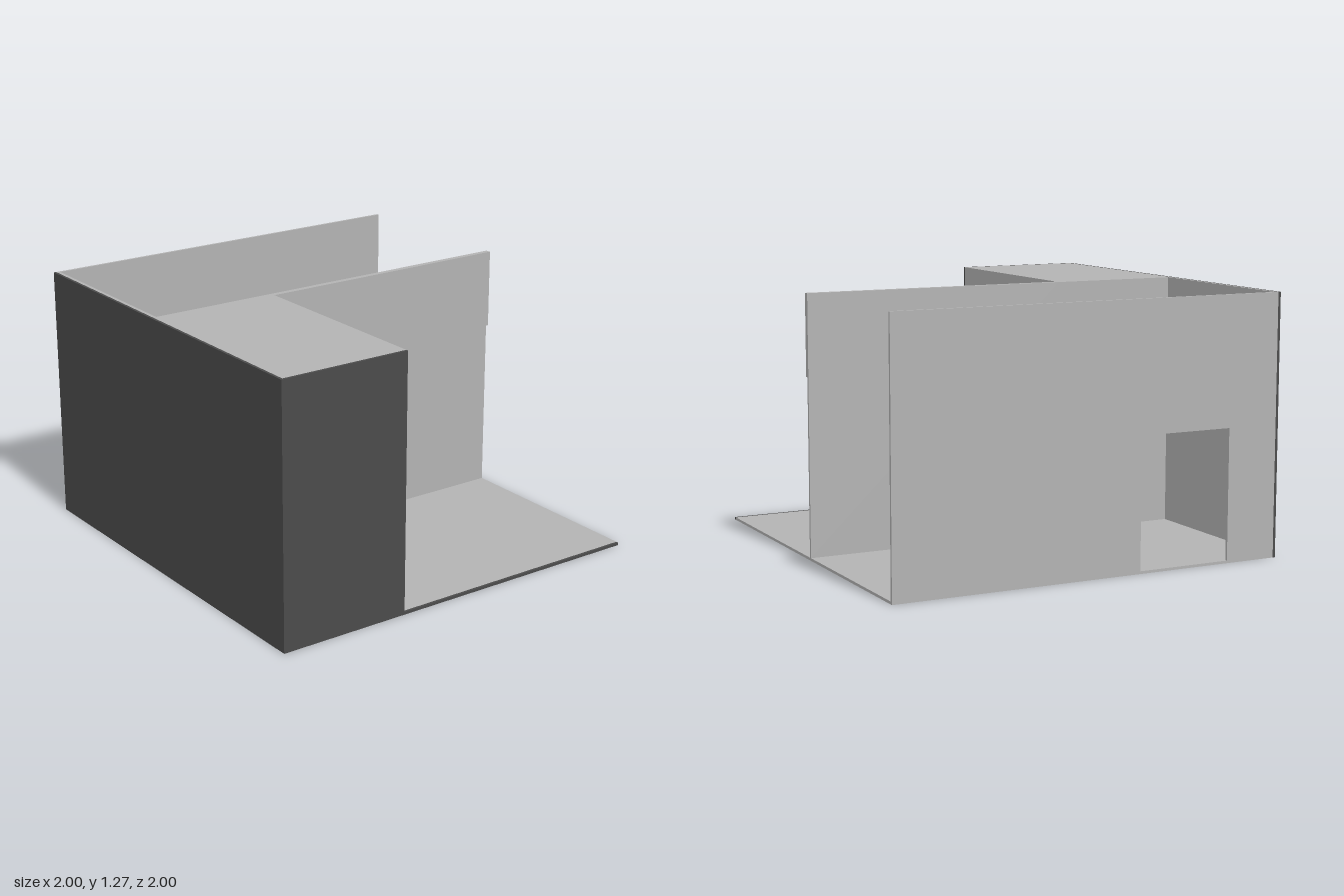
import * as THREE from 'three';

const H = 1.27;      // overall height
const T = 0.013;     // thickness of floor, back wall and cladding

export function createModel() {
  const model = new THREE.Group();
  model.name = 'roomMockup';

  const plaster = new THREE.MeshStandardMaterial({ color: 0xb3b3b3 });
  plaster.name = 'plaster grey';
  const cladding = new THREE.MeshStandardMaterial({ color: 0x4b4b4b });
  cladding.name = 'dark cladding';

  // Box given by its extents along each axis
  function slab(name, material, [x0, x1], [y0, y1], [z0, z1]) {
    const mesh = new THREE.Mesh(new THREE.BoxGeometry(x1 - x0, y1 - y0, z1 - z0), material);
    mesh.position.set((x0 + x1) / 2, (y0 + y1) / 2, (z0 + z1) / 2);
    mesh.name = name;
    model.add(mesh);
  }

  const inner = -1 + T;    // inside of the side cladding
  const front = 1 - T;     // inside of the front cladding
  const blockX = -0.335;   // open side of the solid block
  const midBack = -0.064;  // rear face of the dividing wall

  // Floor and its dark front edge
  slab('floor', plaster, [inner, 1], [0, T], [-1, front]);
  slab('floorFrontEdge', cladding, [blockX, 1], [0, T], [front, 1]);

  // Solid block beside the open front area
  slab('sideBlock', plaster, [inner, blockX], [T, H], [midBack, front]);
  slab('blockFrontCladding', cladding, [inner, blockX], [0, H], [front, 1]);

  // Dark outer side and the thin wall behind it
  slab('sideCladding', cladding, [-1, inner], [0, H], [-1, 1]);
  slab('sideWall', plaster, [inner, -0.97], [T, H], [-1 + T, midBack]);

  // Dividing wall with a thicker upper panel
  slab('dividingWall', plaster, [blockX, 1], [T, H], [midBack, -0.051]);
  slab('upperPanel', plaster, [blockX, 1], [0.875, H], [-0.051, -0.036]);

  // Back wall with a doorway open down to the floor
  const outline = new THREE.Shape([
    [inner, T], [-0.726, T], [-0.726, 0.645], [-0.25, 0.645],
    [-0.25, T], [1, T], [1, H], [inner, H],
  ].map(([x, y]) => new THREE.Vector2(x, y)));
  const backWall = new THREE.Mesh(
    new THREE.ExtrudeGeometry(outline, { depth: T, bevelEnabled: false }), plaster);
  backWall.position.z = -1;
  backWall.name = 'backWallWithDoorway';
  model.add(backWall);

  return model;
}
